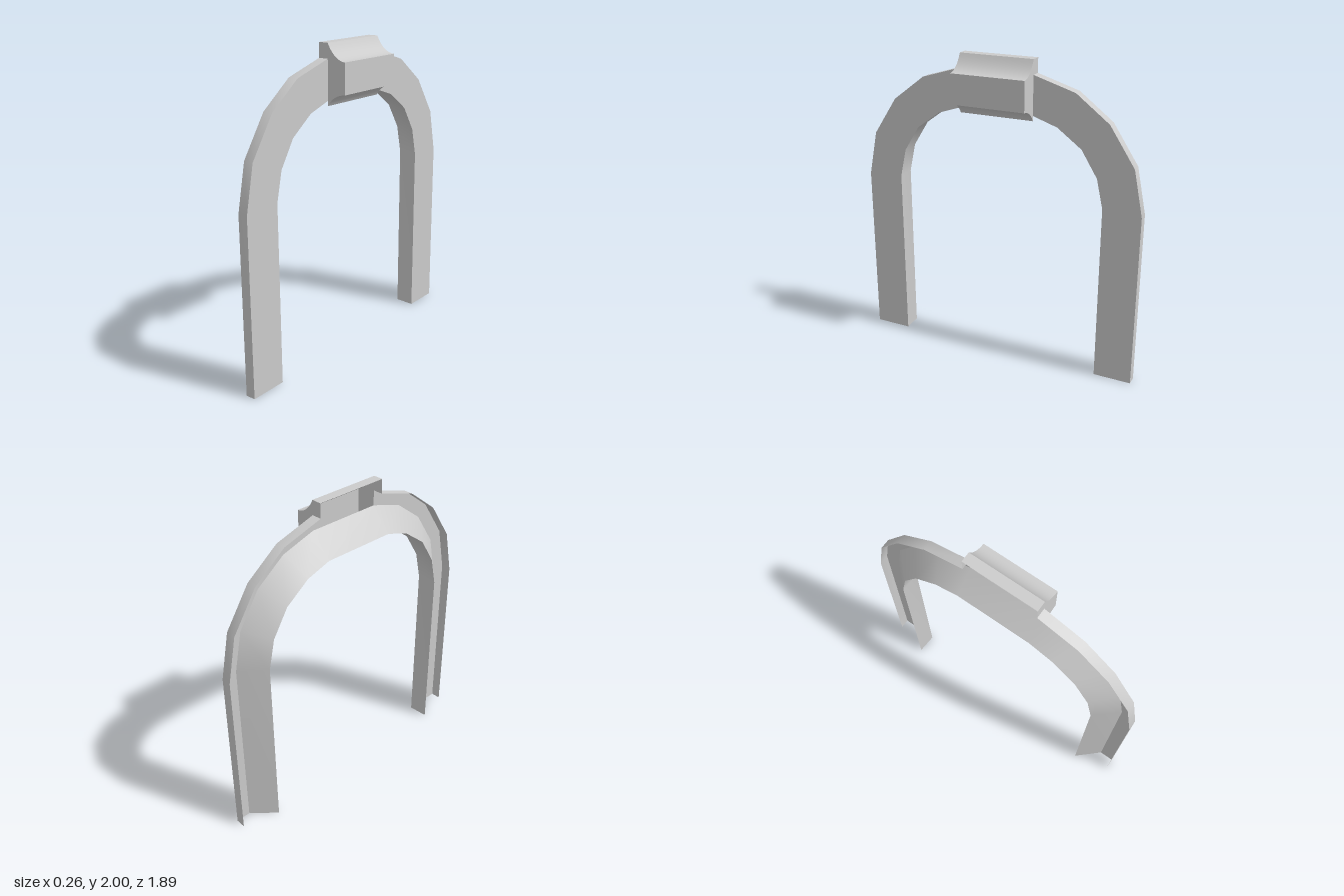
import * as THREE from 'three';

const material = new THREE.MeshStandardMaterial({ color: 0xcccccc, side: THREE.DoubleSide });

// Half of the arch as [z, y], from the foot up to the keystone
const INNER = [[0.702, 0], [0.702, 1.145], [0.66, 1.33], [0.557, 1.495], [0.4, 1.61], [0.243, 1.662]];
const OUTER = [[0.945, 0], [0.945, 1.13], [0.885, 1.42], [0.723, 1.665], [0.51, 1.827], [0.243, 1.908]];
const KEY_HALF = 0.243;
const FRONT = 0, RIM_BACK = -0.065, REVEAL_BACK = -0.13;

// Smooth sheet between two rows of points; double-sided sheets need outward winding
function sheet(name, a, b) {
  const positions = [], index = [];
  a.forEach((p, i) => {
    positions.push(...p, ...b[i]);
    if (i) {
      const k = i * 2;
      index.push(k - 2, k - 1, k, k - 1, k + 1, k);
    }
  });
  const geometry = new THREE.BufferGeometry();
  geometry.setAttribute('position', new THREE.Float32BufferAttribute(positions, 3));
  geometry.setIndex(index);
  geometry.computeVertexNormals();
  const mesh = new THREE.Mesh(geometry, material);
  mesh.name = name;
  return mesh;
}

// Row along half the arch: t blends from the inner (0) to the outer (1) curve
const halfRow = (x, t, side) => INNER.map(([z, y], i) => [
  x, y + (OUTER[i][1] - y) * t, side * (z + (OUTER[i][0] - z) * t),
]);

// Row over the whole arch, running from +z to -z
const fullRow = (x, t) => [...halfRow(x, t, 1), ...halfRow(x, t, -1).reverse()];

function createKeystone() {
  const group = new THREE.Group();
  group.name = 'keystone';
  const curve = (...p) => new THREE.QuadraticBezierCurve(
    ...p.map(([x, y]) => new THREE.Vector2(x, y))).getPoints(10).map((v) => [v.x, v.y]);
  const upper = curve([0, 2], [0.05, 1.9], [0.127, 1.897]);
  const lower = curve([0.127, 1.707], [0.04, 1.7], [0, 1.63]);

  // Moulded shell, open at the back
  const panels = {
    keystoneTop: [[RIM_BACK, 2], [0, 2]],
    keystoneUpperCove: upper,
    keystoneFace: [[0.127, 1.897], [0.127, 1.707]],
    keystoneLowerCove: lower,
  };
  for (const [name, profile] of Object.entries(panels)) {
    const row = (z) => profile.map(([x, y]) => [x, y, z]);
    group.add(sheet(name, row(-KEY_HALF), row(KEY_HALF)));
  }

  // End cheeks
  const outline = [[RIM_BACK, 1.908], [RIM_BACK, 2], ...upper, ...lower, [0, 1.908]];
  const shape = new THREE.Shape(outline.map(([x, y]) => new THREE.Vector2(x, y)));
  for (const side of [1, -1]) {
    const cheek = new THREE.Mesh(new THREE.ShapeGeometry(shape), material);
    cheek.name = side > 0 ? 'keystoneFrontCheek' : 'keystoneBackCheek';
    if (side < 0) cheek.rotation.y = Math.PI;
    cheek.position.z = side * KEY_HALF;
    if (side < 0) {
      // Mirror the outline so that the turned cheek keeps its profile
      cheek.geometry = new THREE.ShapeGeometry(
        new THREE.Shape(outline.map(([x, y]) => new THREE.Vector2(-x, y))));
    }
    group.add(cheek);
  }
  return group;
}

export function createModel() {
  const model = new THREE.Group();
  model.name = 'archSurround';

  // Flat face and outer rim, interrupted by the keystone
  for (const side of [1, -1]) {
    const label = side > 0 ? 'front' : 'back';
    const pair = (a, b) => (side > 0 ? [a, b] : [b, a]);
    model.add(sheet(label + 'ArchFace',
      ...pair(halfRow(FRONT, 1, side), halfRow(FRONT, 0, side))));
    model.add(sheet(label + 'OuterRim',
      ...pair(halfRow(RIM_BACK, 1, side), halfRow(FRONT, 1, side))));
  }

  // Inner reveal and the slanted web behind it, running right over the arch
  model.add(sheet('innerReveal', fullRow(FRONT, 0), fullRow(REVEAL_BACK, 0.03)));
  model.add(sheet('slantedWeb', fullRow(REVEAL_BACK, 0.03), fullRow(FRONT, 0.61)));

  model.add(createKeystone());
  return model;
}
